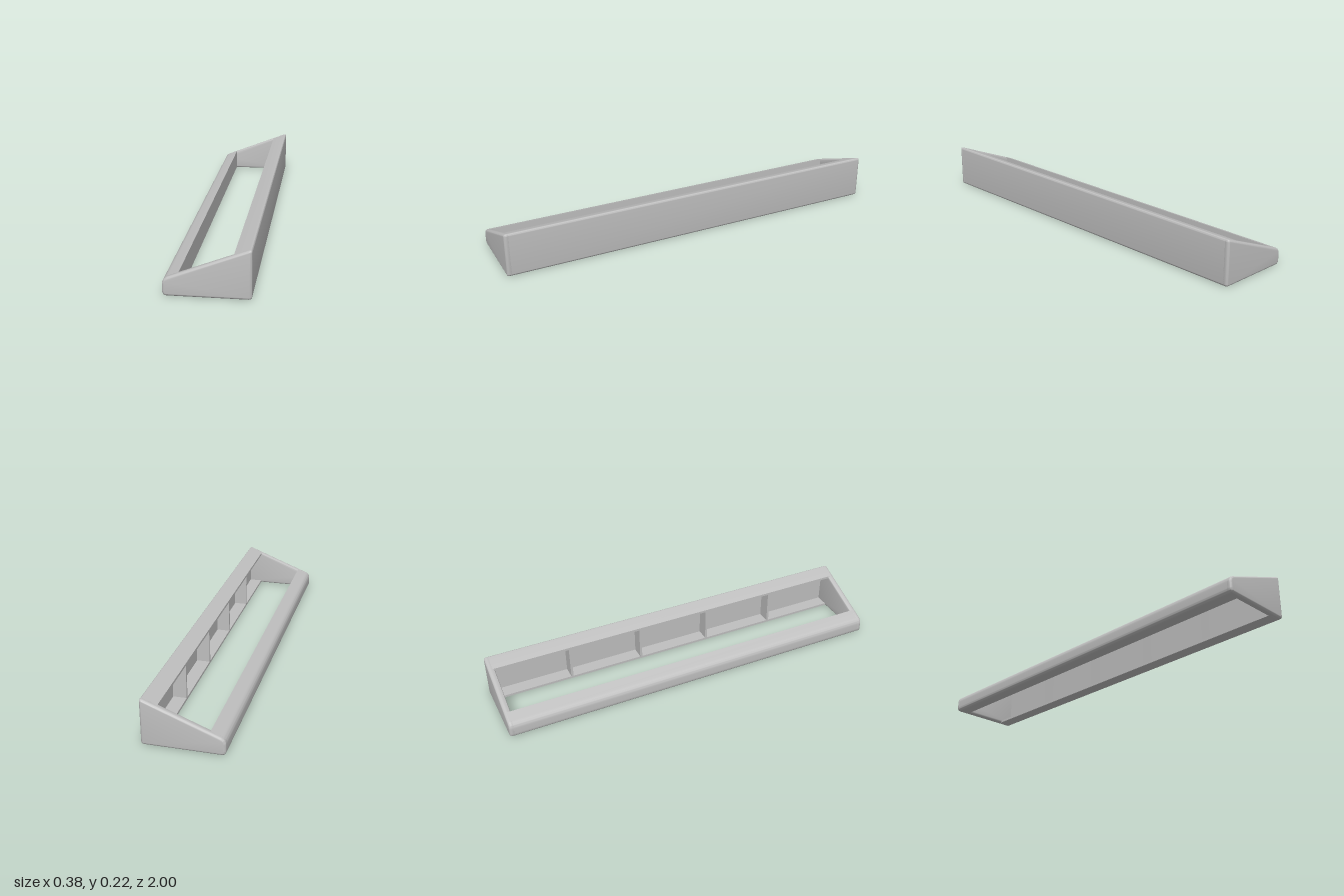
import * as THREE from 'three';
import { toCreasedNormals } from 'three/addons/utils/BufferGeometryUtils.js';

const slopeY = (x) => 0.15 + 0.39 * x; // height of the sloping top

// Closed outline from [x, y, cornerTrim] points; a trim rounds that corner
function outline(points) {
  const shape = new THREE.Shape();
  const n = points.length;
  points.forEach(([x, y, r = 0], i) => {
    const p = new THREE.Vector2(x, y);
    const toward = (q) => new THREE.Vector2(q[0], q[1]).sub(p).setLength(r).add(p);
    const a = r ? toward(points[(i + n - 1) % n]) : p;
    if (i === 0) shape.moveTo(a.x, a.y);
    else shape.lineTo(a.x, a.y);
    if (r) {
      const b = toward(points[(i + 1) % n]);
      shape.quadraticCurveTo(x, y, b.x, b.y);
    }
  });
  shape.closePath();
  return shape;
}

export function createModel() {
  const group = new THREE.Group();
  group.name = 'wedgeFrame';
  const grey = new THREE.MeshStandardMaterial({ color: 0xbfbfbf });
  grey.name = 'grey';

  // Extrude an outline along z, centred on z, with optional rounded rims
  function add(name, shape, length, z, bevel = 0) {
    const geo = new THREE.ExtrudeGeometry(shape, {
      depth: length - 2 * bevel, curveSegments: 8,
      bevelEnabled: bevel > 0, bevelThickness: bevel, bevelSize: bevel,
      bevelOffset: -bevel, bevelSegments: 4,
    });
    geo.translate(0, 0, z - length / 2 + bevel);
    const mesh = new THREE.Mesh(toCreasedNormals(geo, 0.6), grey);
    mesh.name = name;
    group.add(mesh);
  }

  const W = 0.19, inHigh = 0.113, inLow = -0.12, railLength = 1.976;

  // Wedge-shaped end walls
  const wedge = outline([
    [-W, 0, 0.022], [W, 0, 0.015], [W, slopeY(W), 0.015], [-W, slopeY(-W), 0.026],
  ]);
  add('frontEndWall', wedge, 0.033, 0.9835, 0.011);
  add('backEndWall', wedge, 0.033, -0.9835, 0.011);

  // Solid low rail
  add('lowRail', outline([
    [-W, 0, 0.022], [inLow, 0], [inLow, slopeY(inLow)], [-W, slopeY(-W), 0.026],
  ]), railLength, 0);

  // Hollow high rail, open toward the middle
  const t = 0.012, back = W - 0.01;
  add('highRail', outline([
    [inHigh, 0], [W, 0, 0.015], [W, slopeY(W), 0.015], [inHigh, slopeY(inHigh)],
    [inHigh, slopeY(inHigh) - t], [back, slopeY(back) - t], [back, t], [inHigh, t],
  ]), railLength, 0);

  // Four dividers making five pockets in the high rail
  const rib = outline([
    [inHigh, 0.006], [back + 0.004, 0.006], [back + 0.004, slopeY(back) - 0.008], [inHigh, slopeY(inHigh) - 0.008],
  ]);
  for (let i = 0; i < 4; i++) add('divider' + (i + 1), rib, 0.012, (i - 1.5) * 0.387);

  return group;
}
